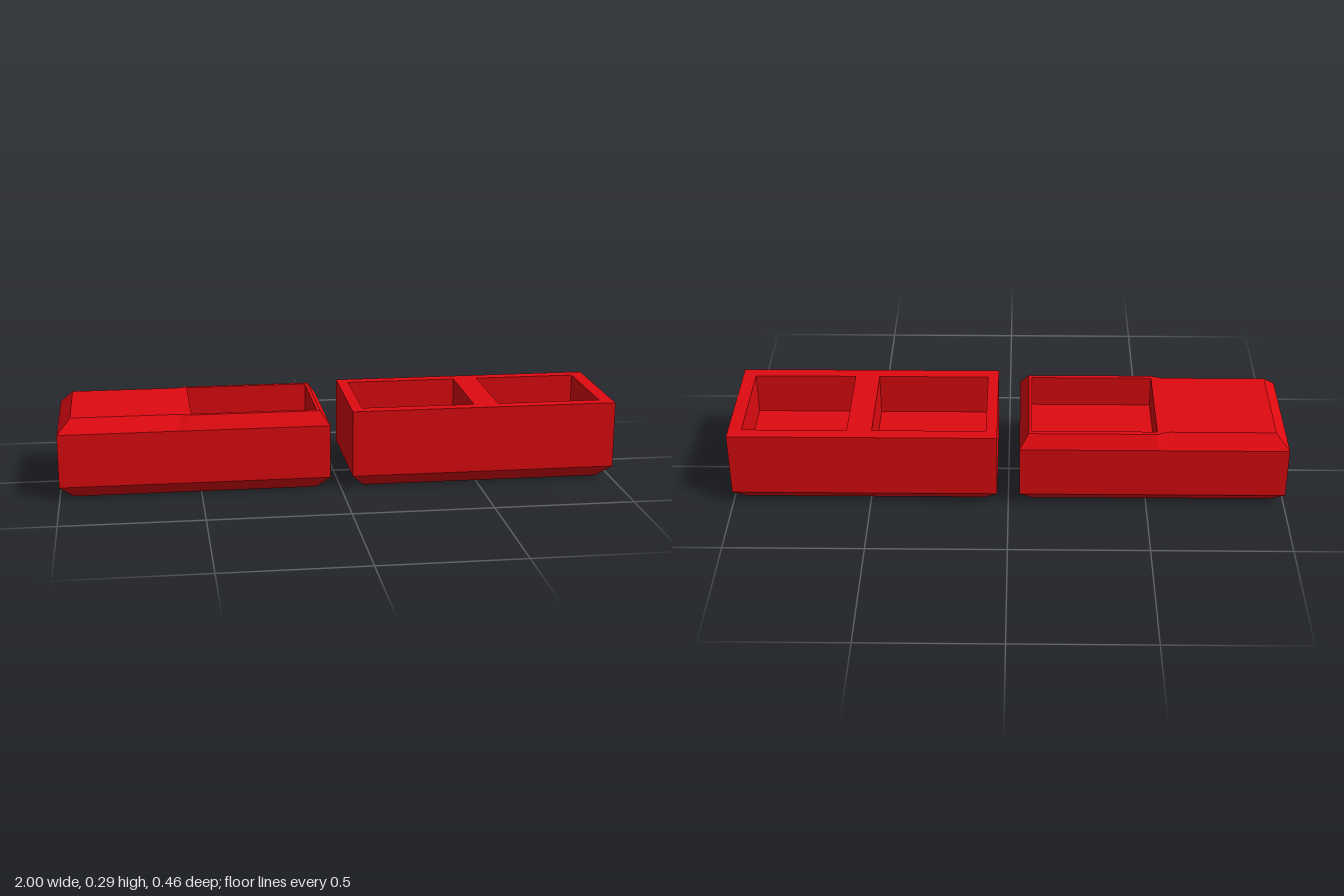
import * as THREE from 'three';

const red = new THREE.MeshStandardMaterial({ color: 0xdf0a10, flatShading: true });
const HALF = 0.232, TOP = 0.288, CHAMFER = 0.048;

// Closed outline: front edge points [x, halfDepth] left to right, mirrored to the back
const outline = (pts) => [...pts, ...pts.map(([x, z]) => [x, -z]).reverse()];
const rect = (x0, x1, z) => outline([[x0, z], [x1, z]]);

// Skin running through a stack of { y, ring } outlines
function band(levels) {
  const pos = [];
  for (let k = 0; k < levels.length - 1; k++) {
    const lo = levels[k], hi = levels[k + 1], n = lo.ring.length;
    for (let i = 0; i < n; i++) {
      const j = (i + 1) % n;
      const at = (l, m) => [l.ring[m][0], l.y, l.ring[m][1]];
      const a = at(lo, i), b = at(lo, j), c = at(hi, j), d = at(hi, i);
      pos.push(...a, ...b, ...c, ...a, ...c, ...d);
    }
  }
  const geo = new THREE.BufferGeometry();
  geo.setAttribute('position', new THREE.Float32BufferAttribute(pos, 3));
  geo.computeVertexNormals();
  return geo;
}

// Flat horizontal face, optionally with holes or facing down
function cap(ring, y, holes = [], down = false) {
  const s = down ? 1 : -1;
  const pts = (r) => r.map(([x, z]) => new THREE.Vector2(x, s * z));
  const shape = new THREE.Shape(pts(ring));
  holes.forEach((h) => shape.holes.push(new THREE.Path(pts(h))));
  return new THREE.ShapeGeometry(shape).rotateX(s * Math.PI / 2).translate(0, y, 0);
}

function tray(name, levels, pockets, floorY) {
  const group = new THREE.Group();
  group.name = name;
  const add = (part, geo) => {
    const mesh = new THREE.Mesh(geo, red);
    mesh.name = part;
    group.add(mesh);
  };
  const top = levels[levels.length - 1];
  add('sides', band(levels));
  add('base', cap(levels[0].ring, levels[0].y, [], true));
  add('topRim', cap(top.ring, top.y, pockets));
  // Recessed compartments
  pockets.forEach((ring) => {
    add('pocketWalls', band([{ y: top.y, ring }, { y: floorY, ring }]));
    add('pocketFloor', cap(ring, floorY));
  });
  return group;
}

export function createModel() {
  const model = new THREE.Group();
  model.name = 'trayPair';

  // Open tray with two compartments
  model.add(tray('openTray', [
    { y: 0, ring: rect(0.085, 0.95, 0.185) },
    { y: CHAMFER, ring: rect(0.04, 1, HALF) },
    { y: TOP, ring: rect(0.04, 1, HALF) },
  ], [rect(0.08, 0.487, 0.185), rect(0.577, 0.952, 0.185)], 0.133));

  // Bevelled tray: top widens slightly around its single compartment
  const side = (x0, x1, z0, z1) => outline([[x0, z0], [-0.57, z0], [-0.53, z1], [x1, z1]]);
  const wide = side(-1, -0.04, HALF, HALF);
  model.add(tray('bevelledTray', [
    { y: 0, ring: side(-0.95, -0.085, 0.185, 0.185) },
    { y: CHAMFER, ring: wide },
    { y: TOP - CHAMFER, ring: wide },
    { y: TOP, ring: side(-0.953, -0.073, 0.185, 0.2) },
  ], [rect(-0.53, -0.085, 0.183)], 0.17));

  return model;
}
